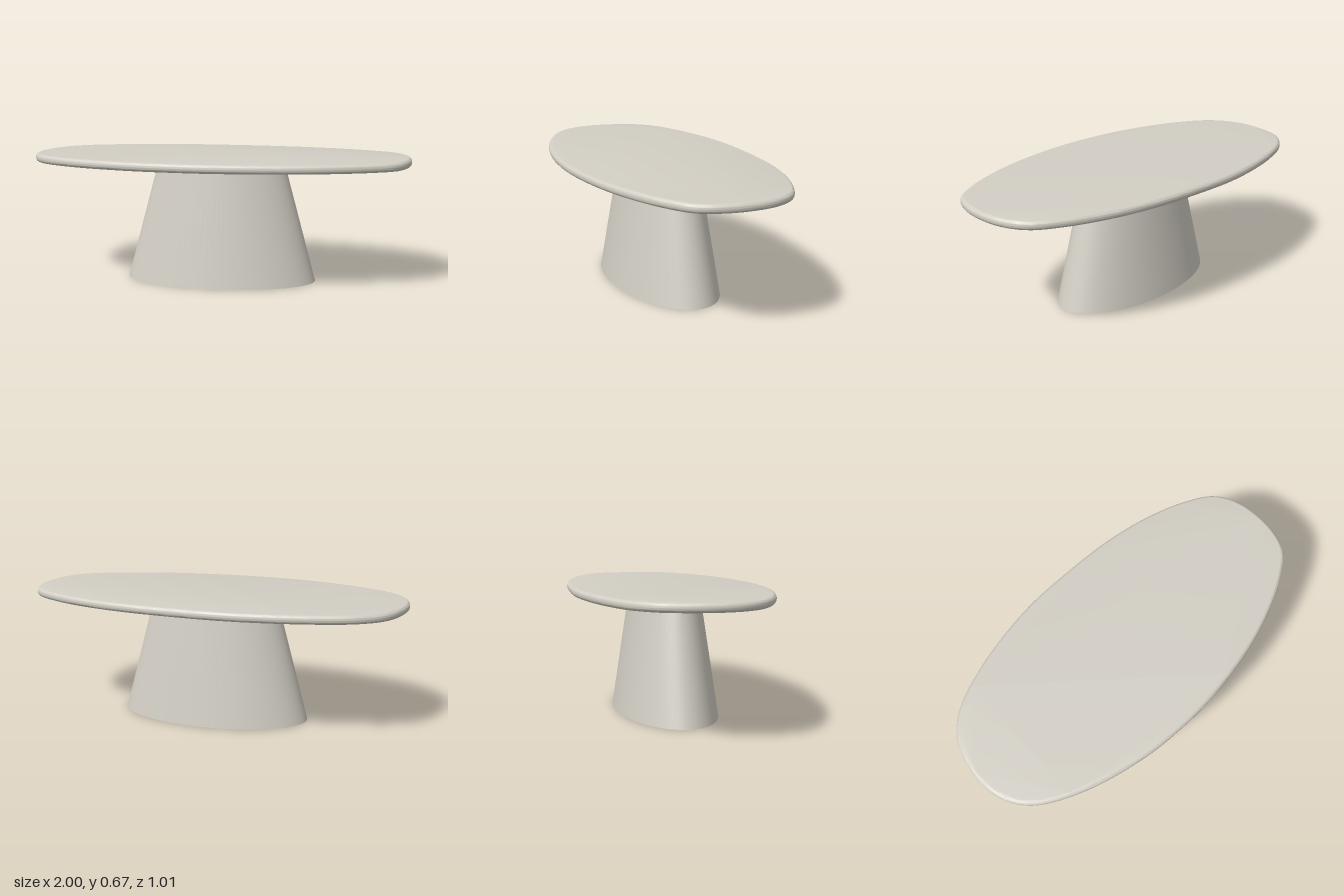
import * as THREE from 'three';
import { toCreasedNormals } from 'three/addons/utils/BufferGeometryUtils.js';

// Soft, slightly irregular tabletop outline as [x, z]
const OUTLINE = [
  [1, 0], [0.985, -0.12], [0.93, -0.225], [0.8, -0.315], [0.6, -0.4], [0.35, -0.463],
  [0.05, -0.498], [-0.18, -0.508], [-0.4, -0.49], [-0.62, -0.447], [-0.8, -0.383], [-0.92, -0.285],
  [-0.98, -0.15], [-1, 0], [-0.973, 0.12], [-0.9, 0.225], [-0.7, 0.35], [-0.4, 0.452],
  [-0.15, 0.492], [0.07, 0.501], [0.38, 0.473], [0.6, 0.422], [0.8, 0.345], [0.925, 0.262], [0.982, 0.14],
];

const TOP_UNDERSIDE = 0.628;
const TOP_HEIGHT = 0.672;
const EDGE = 0.02;

export function createModel() {
  const group = new THREE.Group();
  group.name = 'pedestalTable';
  const stone = new THREE.MeshStandardMaterial({ color: 0xd2cec4 });
  stone.name = 'warm grey stone';

  // Tabletop: smooth closed outline with a rounded rim
  const curve = new THREE.CatmullRomCurve3(
    OUTLINE.map(([x, z]) => new THREE.Vector3(x, -z, 0)), true, 'centripetal');
  const points = curve.getSpacedPoints(160).slice(0, -1).map((p) => new THREE.Vector2(p.x, p.y));
  const slab = new THREE.ExtrudeGeometry(new THREE.Shape(points), {
    depth: TOP_HEIGHT - TOP_UNDERSIDE - 2 * EDGE,
    bevelThickness: EDGE,
    bevelSize: EDGE,
    bevelOffset: -EDGE,
    bevelSegments: 6,
  });
  slab.rotateX(-Math.PI / 2);
  slab.translate(0, TOP_UNDERSIDE + EDGE, 0);
  const tabletop = new THREE.Mesh(toCreasedNormals(slab, 0.6), stone);
  tabletop.name = 'tabletop';
  group.add(tabletop);

  // Pedestal: tapered elliptical column
  const column = new THREE.CylinderGeometry(0.174, 0.262, TOP_UNDERSIDE, 96);
  column.scale(1.94, 1, 1);
  column.translate(0.01, TOP_UNDERSIDE / 2, 0);
  const pedestal = new THREE.Mesh(column, stone);
  pedestal.name = 'pedestal';
  group.add(pedestal);

  return group;
}
